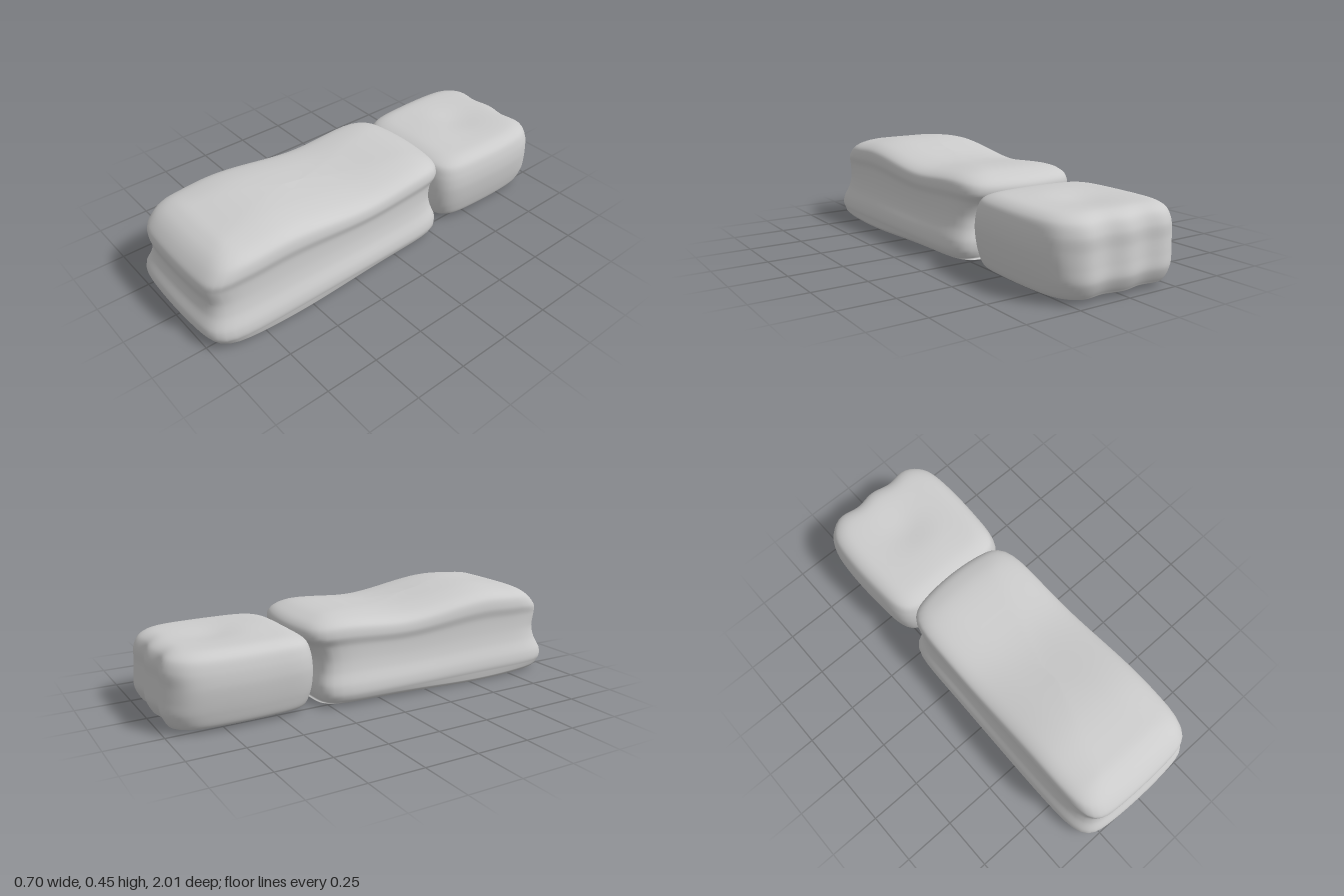
import * as THREE from 'three';

const material = new THREE.MeshStandardMaterial({ color: 0xcccccc, roughness: 0.8 });

// smooth height curve through [position, value] pairs
function profile(points) {
  return (p) => {
    let i = 0;
    while (i < points.length - 2 && p > points[i + 1][0]) i++;
    const [a, va] = points[i], [b, vb] = points[i + 1];
    const t = THREE.MathUtils.clamp((p - a) / (b - a), 0, 1);
    return va + (vb - va) * t * t * (3 - 2 * t);
  };
}

// soft block lofted from rounded-rectangle rings [halfWidth, y, zFront, zBack], bottom centre to top centre
function softBlock(name, rings, power, warp) {
  const rows = 72, cols = 112, pos = [], index = [];
  const wide = new THREE.CatmullRomCurve3(rings.map(([w, y]) => new THREE.Vector3(w, y, 0)), false, 'catmullrom', 0.45);
  const deep = new THREE.CatmullRomCurve3(rings.map(([, , f, b]) => new THREE.Vector3(f, b, 0)), false, 'catmullrom', 0.45);
  const v = new THREE.Vector3();
  for (let i = 0; i <= rows; i++) {
    const { x: w, y } = wide.getPoint(i / rows);
    const { x: front, y: back } = deep.getPoint(i / rows);
    for (let j = 0; j < cols; j++) {
      const a = (j / cols) * Math.PI * 2, c = Math.cos(a), s = Math.sin(a);
      const r = (Math.abs(c) ** power + Math.abs(s) ** power) ** (-1 / power);
      v.set(w * r * c, y, (front + back) / 2 + ((front - back) / 2) * r * s);
      warp(v);
      pos.push(v.x, v.y, v.z);
      if (i < rows) {
        const k = i * cols + j, n = i * cols + ((j + 1) % cols);
        index.push(k, k + cols, n, n, k + cols, n + cols);
      }
    }
  }
  const geo = new THREE.BufferGeometry();
  geo.setAttribute('position', new THREE.Float32BufferAttribute(pos, 3));
  geo.setIndex(index);
  geo.computeVertexNormals();
  const mesh = new THREE.Mesh(geo, material);
  mesh.name = name;
  return mesh;
}

export function createModel() {
  const group = new THREE.Group();
  group.name = 'softBlocks';

  // long cushion: flared foot, pinched waist, crowned top with a dip behind the middle
  const lift = profile([[-0.36, -0.06], [-0.18, -0.04], [0.12, -0.06], [0.62, 0], [0.8, -0.01], [1, -0.04]]);
  group.add(softBlock('longCushion', [
    [0, 0.02, 0.35, 0.35],
    [0.16, 0.02, 0.65, 0.03],
    [0.305, 0.02, 0.93, -0.27],
    [0.335, 0.03, 0.96, -0.285],
    [0.35, 0.065, 0.985, -0.295],
    [0.345, 0.11, 0.985, -0.295],
    [0.323, 0.17, 0.96, -0.28],
    [0.311, 0.23, 0.95, -0.275],
    [0.307, 0.3, 0.962, -0.285],
    [0.315, 0.35, 0.955, -0.305],
    [0.302, 0.4, 0.915, -0.295],
    [0.25, 0.43, 0.86, -0.25],
    [0.15, 0.448, 0.75, -0.12],
    [0, 0.456, 0.4, 0.3],
  ], 9, (v) => {
    const h = v.y / 0.456;
    const across = 1 - Math.min(1, (v.x / 0.32) ** 2);
    v.y += lift(v.z) * h ** 1.5;
    // underside sags at its long edges
    if (h < 0.1) v.y -= 0.016 * (v.x / 0.32) ** 2 * Math.exp(-(((v.z - 0.55) / 0.35) ** 2));
    v.x *= 0.965 + 0.035 * THREE.MathUtils.smoothstep(v.z, -0.1, 0.7);
    // ends bow outward, the back one mostly near the top
    const z = v.z;
    if (z > 0.6) v.z += 0.02 * across * (z - 0.6) / 0.4;
    if (z < 0) v.z -= 0.048 * across * (-z / 0.3) * THREE.MathUtils.smoothstep(h, 0.45, 0.85);
  }));

  // short block behind the cushion: rounded, slightly uneven top and back
  const dip = (v, x, z, size) => Math.exp(-((v.x - x) ** 2 + (v.z - z) ** 2) / size ** 2);
  group.add(softBlock('shortBlock', [
    [0, 0.022, -0.65, -0.65],
    [0.15, 0.022, -0.5, -0.8],
    [0.265, 0.022, -0.37, -0.94],
    [0.298, 0.035, -0.335, -0.965],
    [0.315, 0.09, -0.315, -0.988],
    [0.325, 0.15, -0.308, -0.985],
    [0.329, 0.21, -0.308, -0.98],
    [0.322, 0.27, -0.315, -0.978],
    [0.302, 0.32, -0.335, -0.955],
    [0.25, 0.346, -0.4, -0.9],
    [0.14, 0.35, -0.52, -0.79],
    [0, 0.35, -0.65, -0.65],
  ], 5.5, (v) => {
    const h = v.y / 0.35;
    v.y += h ** 4 * (0.008 * dip(v, 0, -0.52, 0.15) - 0.014 * dip(v, 0, -0.7, 0.12));
    // ripple along the back face, slight swell along the sides
    if (v.z < -0.8) v.z -= 0.01 * Math.cos(v.x * 31) * ((-v.z - 0.8) / 0.2);
    v.x *= 1 + 0.012 * Math.cos((v.z + 0.68) * 12);
  }));

  return group;
}
